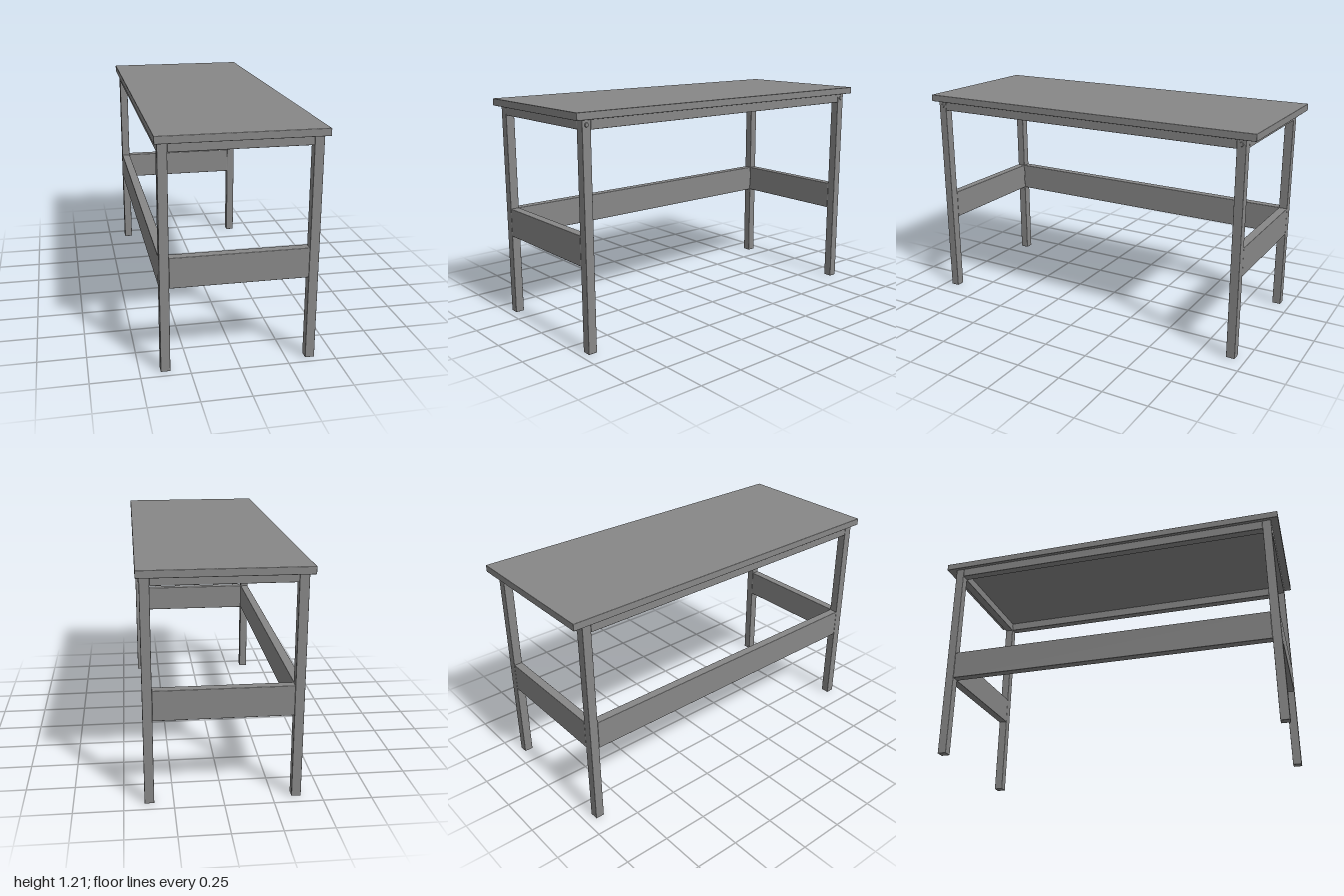
import * as THREE from 'three';
import { RoundedBoxGeometry } from 'three/addons/geometries/RoundedBoxGeometry.js';

export function createModel() {
  const group = new THREE.Group();
  const material = new THREE.MeshStandardMaterial({ color: 0x878787 });

  function add(name, geometry, x, y, z) {
    const mesh = new THREE.Mesh(geometry, material);
    mesh.name = name;
    mesh.position.set(x, y, z);
    group.add(mesh);
    return mesh;
  }

  // Softly rounded bar given by its limits on each axis
  function bar(name, [x0, x1], [y0, y1], [z0, z1], radius = 0.003) {
    const geometry = new RoundedBoxGeometry(x1 - x0, y1 - y0, z1 - z0, 2, radius);
    return add(name, geometry, (x0 + x1) / 2, (y0 + y1) / 2, (z0 + z1) / 2);
  }

  const legWidth = 0.048;
  const half = legWidth / 2;
  const legX = { right: -0.372, left: 0.372 };
  const legZ = { back: -0.92, front: 0.936 };
  const around = (c) => [c - half, c + half];
  const spanX = [legX.right + half, legX.left - half];
  const spanZ = [legZ.back + half, legZ.front - half];
  const legY = [0, 1.172];
  const apronY = [1.122, 1.172];
  const stretcherY = [0.448, 0.605];

  bar('tableTop', [-0.414, 0.414], [1.172, 1.21], [-1, 1]);

  // Four square legs
  for (const [side, x] of Object.entries(legX)) {
    for (const [end, z] of Object.entries(legZ)) {
      bar(`${end}${side === 'left' ? 'Left' : 'Right'}Leg`, around(x), legY, around(z), 0.002);
    }
  }

  // Aprons under the top on all four sides
  for (const [side, x] of Object.entries(legX)) bar(`${side}Apron`, around(x), apronY, spanZ);
  for (const [end, z] of Object.entries(legZ)) {
    bar(`${end}Apron`, spanX, apronY, around(z));
    // Deep stretchers at both ends
    bar(`${end}Stretcher`, spanX, stretcherY, around(z));
  }

  // Long stretcher along one side only
  bar('longStretcher', around(legX.right), stretcherY, spanZ);

  // Bolt heads at the top of the two legs on the open side
  for (const [end, z] of Object.entries(legZ)) {
    const bolt = add(`${end}Bolt`, new THREE.CylinderGeometry(0.01, 0.012, 0.006, 20), legX.left + half + 0.002, 1.147, z);
    bolt.rotation.z = -Math.PI / 2;
  }

  return group;
}
